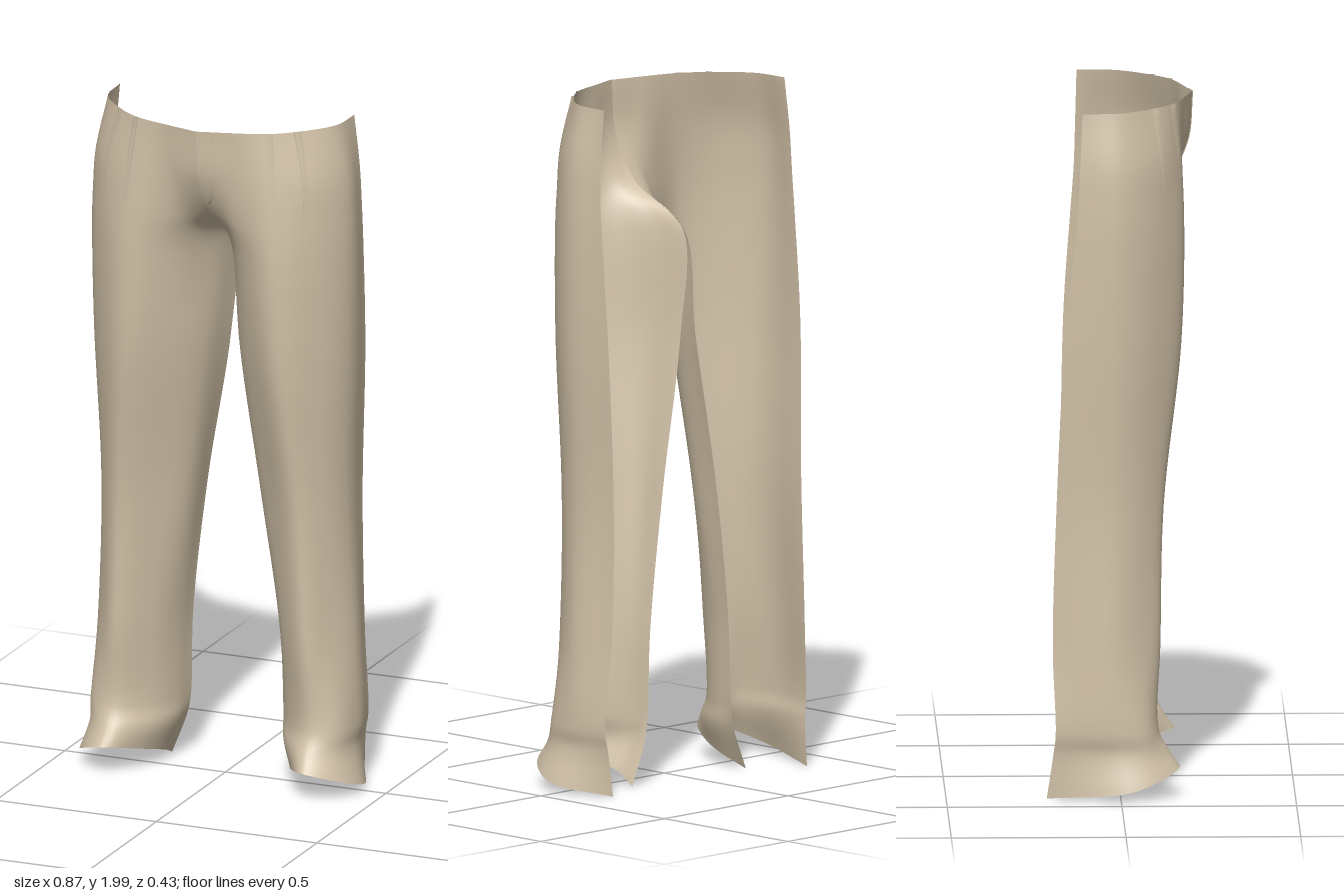
import * as THREE from 'three';

const cloth = new THREE.MeshStandardMaterial({ color: 0xd0c0a6, side: THREE.DoubleSide });
cloth.name = 'beige cloth';

// Heights of the stations, waist to cuff; the hem height is given per line
const HEIGHTS = [2, 1.85, 1.72, 1.6, 1.3, 0.85, 0.45, 0.2, 0.14];

// Lines running down one leg as x, z pairs at each station, the last pair on the hem
const LINES = [
  { name: 'outer back', hem: 0.01, xz: [.365, -.11, .38, -.115, .385, -.12, .385, -.13, .38, -.155, .365, -.17, .37, -.175, .385, -.165, .375, -.17, .365, -.185] },
  { name: 'outer side', hem: 0.035, xz: [.355, 0, .39, 0, .4, 0, .402, 0, .397, 0, .383, -.02, .4, -.03, .41, -.02, .405, 0, .435, .02] },
  { name: 'outer front', hem: 0.07, xz: [.275, .1, .32, .11, .335, .11, .34, .11, .34, .105, .345, .07, .36, .06, .38, .08, .38, .09, .39, .125] },
  { name: 'crease', hem: 0.095, xz: [.2, .155, .21, .173, .22, .182, .225, .185, .24, .175, .275, .125, .295, .115, .305, .11, .305, .14, .31, .17] },
  { name: 'inner front', hem: 0.075, xz: [.1, .187, .1, .18, .1, .16, .1, .125, .13, .11, .17, .06, .205, .05, .22, .05, .215, .06, .24, .085] },
  { name: 'inner side', hem: 0.045, xz: [.05, .2, .05, .19, .045, .135, .03, .02, .055, .02, .11, -.01, .16, -.03, .17, -.03, .17, -.03, .205, -.02] },
  { name: 'inner back', hem: 0.01, xz: [0, .213, 0, .197, 0, .12, 0, -.08, .025, -.095, .1, -.1, .147, -.1, .155, -.1, .165, -.1, .215, -.1] },
];

const curves = LINES.map(({ hem, xz }) => new THREE.CatmullRomCurve3(
  [...HEIGHTS, hem].map((y, i) => new THREE.Vector3(xz[2 * i], y, xz[2 * i + 1]))));

// Point on the leg: u from outer back to inner back, v from waist to hem
function legPoint(side, u, v) {
  const across = new THREE.CatmullRomCurve3(curves.map(c => c.getPoint(v)));
  const p = across.getPoint(u);
  // The two legs hang slightly differently
  p.x -= side * 0.012 * (p.x / 0.4) * (p.y / 2);
  p.z += side * 0.025 * Math.max(0, -p.z / 0.17) * (1 - p.y / 2);
  p.x *= side;
  return p;
}

// Same point lifted off the cloth
function raisedPoint(side, u, v, lift) {
  const e = 0.01;
  const p = legPoint(side, u, v);
  const u0 = Math.max(0, u - e), u1 = Math.min(1, u + e);
  const v0 = Math.max(0, v - e), v1 = Math.min(1, v + e);
  const du = legPoint(side, u1, v).sub(legPoint(side, u0, v));
  const dv = legPoint(side, u, v1).sub(legPoint(side, u, v0));
  return p.addScaledVector(du.cross(dv).normalize(), lift * side);
}

// Grid of points as a smooth sheet with its front outward
function sheet(name, side, cols, rows, pointAt) {
  const pos = [], idx = [];
  for (let j = 0; j <= rows; j++)
    for (let i = 0; i <= cols; i++) pos.push(...pointAt(i / cols, j / rows).toArray());
  for (let j = 0; j < rows; j++)
    for (let i = 0; i < cols; i++) {
      const a = j * (cols + 1) + i, b = a + 1, c = a + cols + 1, d = c + 1;
      if (side > 0) idx.push(a, b, c, b, d, c);
      else idx.push(a, c, b, b, c, d);
    }
  const geo = new THREE.BufferGeometry();
  geo.setAttribute('position', new THREE.Float32BufferAttribute(pos, 3));
  geo.setIndex(idx);
  geo.computeVertexNormals();
  const mesh = new THREE.Mesh(geo, cloth);
  mesh.name = name;
  return mesh;
}

export function createModel() {
  const group = new THREE.Group();
  group.name = 'trouserFront';

  for (const side of [1, -1]) {
    const label = side > 0 ? 'left' : 'right';
    group.add(sheet(label + 'Leg', side, 42, 81, (u, v) => legPoint(side, u, v)));

    // Two stitched pleats below the waist, each a tapering fold with a raised edge
    [[0.5, 0.48], [0.35, 0.38]].forEach(([top, bottom], k) => {
      const vEnd = 0.23;
      group.add(sheet(label + 'Pleat' + (k + 1), side, 2, 10, (s, t) => {
        const edge = THREE.MathUtils.lerp(top, bottom, t);
        const width = 0.035 * (1 - 0.8 * t);
        const u = s < 0.5 ? edge - width : edge;
        return raisedPoint(side, u, t * vEnd, s === 0.5 ? 0.006 * (1 - t) : 0);
      }));
    });
  }

  // Fly flap beside the centre seam, rounded at its lower end
  group.add(sheet('flyFlap', 1, 6, 14, (s, t) => {
    const width = 0.17 * Math.sqrt(Math.max(0, 1 - t ** 4));
    return raisedPoint(1, 1 - width * (1 - s), t * 0.19, s === 0 ? 0 : 0.003);
  }));

  return group;
}
